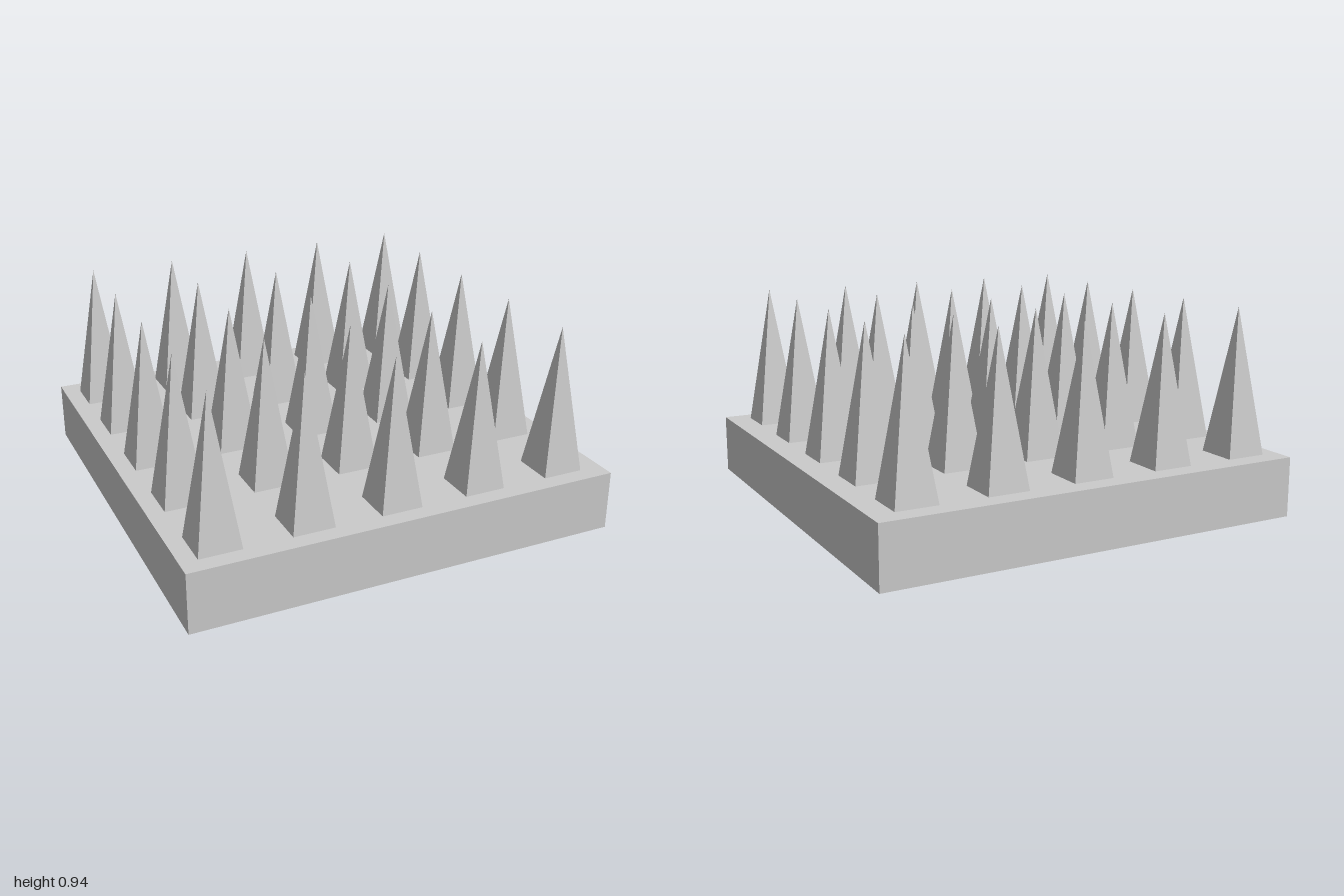
import * as THREE from 'three';

export function createModel() {
  const group = new THREE.Group();
  const material = new THREE.MeshStandardMaterial({ color: 0xcccccc, flatShading: true });
  const baseHeight = 0.276, spikeHeight = 0.667, spikeWidth = 0.19;

  // Square slab
  const base = new THREE.Mesh(new THREE.BoxGeometry(2, baseHeight, 2), material);
  base.name = 'base';
  base.position.y = baseHeight / 2;
  group.add(base);

  // Four-sided spike, turned so its sides line up with the slab, standing on y = 0
  const spikeGeometry = new THREE.ConeGeometry(spikeWidth / Math.SQRT2, spikeHeight, 4, 1, true);
  spikeGeometry.rotateY(Math.PI / 4).translate(0, spikeHeight / 2, 0);

  // Five by five grid of spikes, slightly off centre; the back row sits a little closer
  const columns = [-0.827, -0.421, -0.015, 0.391, 0.797];
  const rows = [-0.811, -0.416, -0.003, 0.411, 0.826];
  const spikes = new THREE.Group();
  spikes.name = 'spikes';
  for (const z of rows) {
    for (const x of columns) {
      const spike = new THREE.Mesh(spikeGeometry, material);
      spike.name = 'spike';
      spike.position.set(x, baseHeight, z);
      spikes.add(spike);
    }
  }
  group.add(spikes);
  return group;
}
